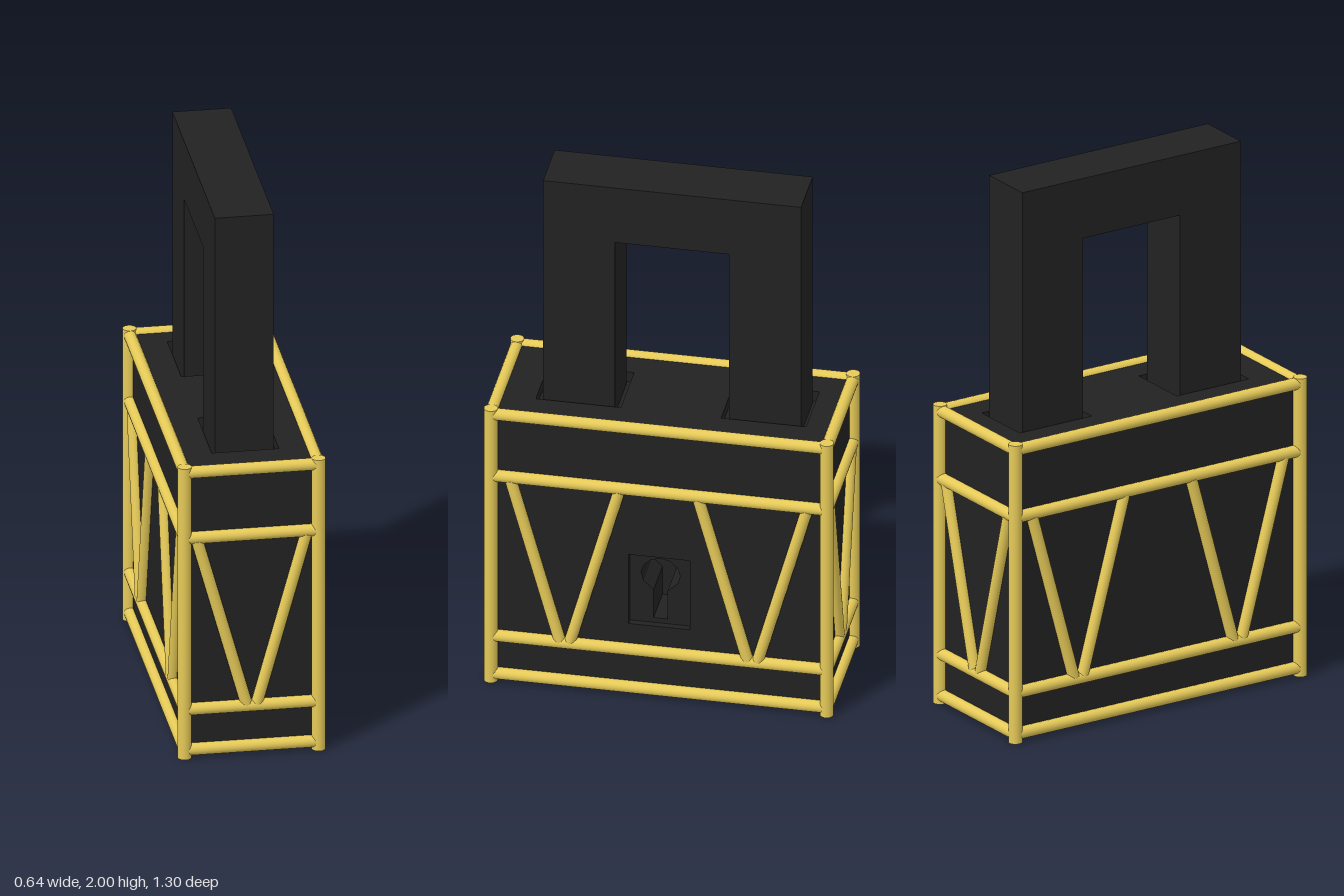
import * as THREE from 'three';

const black = new THREE.MeshStandardMaterial({ color: 0x222222 });
const yellow = new THREE.MeshStandardMaterial({ color: 0xe6ca58 });

const W = 0.239, D = 0.603;          // half spacing of the corner posts
const BW = 0.23, BD = 0.594;         // half size of the body
const Y0 = 0.008, Y1 = 1.105;        // bottom and top of the body
const PIT = 0.04, HOLE = 0.16, INSET = 0.025;

function add(parent, name, geometry, material) {
  const mesh = new THREE.Mesh(geometry, material);
  mesh.name = name;
  parent.add(mesh);
  return mesh;
}

// Round bar between two points
function bar(parent, name, a, b, r) {
  const from = new THREE.Vector3(...a), to = new THREE.Vector3(...b);
  const dir = to.clone().sub(from);
  const mesh = add(parent, name, new THREE.CylinderGeometry(r, r, dir.length(), 16), yellow);
  mesh.position.copy(from).add(to).multiplyScalar(0.5);
  mesh.quaternion.setFromUnitVectors(new THREE.Vector3(0, 1, 0), dir.normalize());
}

const corners = (u0, v0, u1, v1) =>
  [[u0, v0], [u1, v0], [u1, v1], [u0, v1]].map(p => new THREE.Vector2(...p));

// Flat panel with cut-outs, extruded along +z
function panel(outline, holes, depth) {
  const shape = new THREE.Shape(outline);
  shape.holes = holes.map(h => new THREE.Path(h));
  return new THREE.ExtrudeGeometry(shape, { depth, bevelEnabled: false });
}

// Keyhole: faceted round top running into a narrow slot
function keyhole() {
  const pts = [[-0.025, 0.305], [0.025, 0.305], [0.025, 0.42]];
  for (let i = 0; i <= 8; i++) {
    const a = -0.5 + (Math.PI + 1) * i / 8;
    pts.push([0.07 * Math.cos(a), 0.485 + 0.066 * Math.sin(a)]);
  }
  pts.push([-0.025, 0.42]);
  return pts.map(p => new THREE.Vector2(...p));
}

function buildBody() {
  const body = new THREE.Group();
  body.name = 'body';
  const top = Y1 - PIT, coreRight = BW - HOLE - INSET;

  const core = add(body, 'core', new THREE.BoxGeometry(coreRight + BW, top - Y0, 2 * BD), black);
  core.position.set((coreRight - BW) / 2, (top + Y0) / 2, 0);

  // Keyhole side: a thick layer with the keyhole, then a thin one with the plate recess
  const side = corners(-BD, Y0, BD, top);
  const lock = add(body, 'keyholePanel', panel(side, [keyhole()], HOLE).rotateY(Math.PI / 2), black);
  lock.position.x = coreRight;
  const recess = add(body, 'plateRecess',
    panel(side, [corners(-0.11, 0.285, 0.11, 0.57)], INSET).rotateY(Math.PI / 2), black);
  recess.position.x = BW - INSET;

  // Top layer with a shallow socket around each shackle leg
  const sockets = [corners(-0.12, -0.465, 0.12, -0.16), corners(-0.12, 0.2, 0.12, 0.505)];
  const lid = add(body, 'topPanel',
    panel(corners(-BW, -BD, BW, BD), sockets, PIT).rotateX(-Math.PI / 2), black);
  lid.position.y = top;
  return body;
}

function buildShackle() {
  const outline = [[-0.463, 1.05], [-0.205, 1.05], [-0.205, 1.775], [0.205, 1.775],
    [0.205, 1.05], [0.463, 1.05], [0.463, 2], [-0.463, 2]].map(p => new THREE.Vector2(...p));
  const geometry = panel(outline, [], 0.21).translate(0, 0, -0.105).rotateY(Math.PI / 2);
  const shackle = new THREE.Mesh(geometry, black);
  shackle.name = 'shackle';
  shackle.position.z = -0.021;
  return shackle;
}

function buildFrame() {
  const frame = new THREE.Group();
  frame.name = 'frame';
  for (const sx of [-1, 1]) for (const sz of [-1, 1])
    bar(frame, 'cornerPost', [sx * W, 0, sz * D], [sx * W, 1.122, sz * D], 0.025);

  // Horizontal rails
  for (const y of [0.03, 0.185, 0.845, 1.099]) for (const s of [-1, 1]) {
    bar(frame, 'endRail', [-W, y, s * D], [W, y, s * D], 0.022);
    bar(frame, 'sideRail', [s * W, y, -D], [s * W, y, D], 0.022);
  }

  // V-shaped braces: one on each end, two on each long side
  for (const s of [-1, 1]) for (const d of [-1, 1]) {
    bar(frame, 'endBrace', [d * 0.018, 0.19, s * D], [d * 0.195, 0.835, s * D], 0.021);
    for (const c of [-0.337, 0.337])
      bar(frame, 'sideBrace', [s * W, 0.19, c + d * 0.018], [s * W, 0.835, c + d * 0.195], 0.021);
  }
  return frame;
}

export function createModel() {
  const model = new THREE.Group();
  model.name = 'padlock';
  const lock = new THREE.Group();
  lock.name = 'turnedLock';
  lock.add(buildBody(), buildShackle(), buildFrame());
  lock.rotation.y = -0.096; // stands slightly turned
  model.add(lock);
  return model;
}
